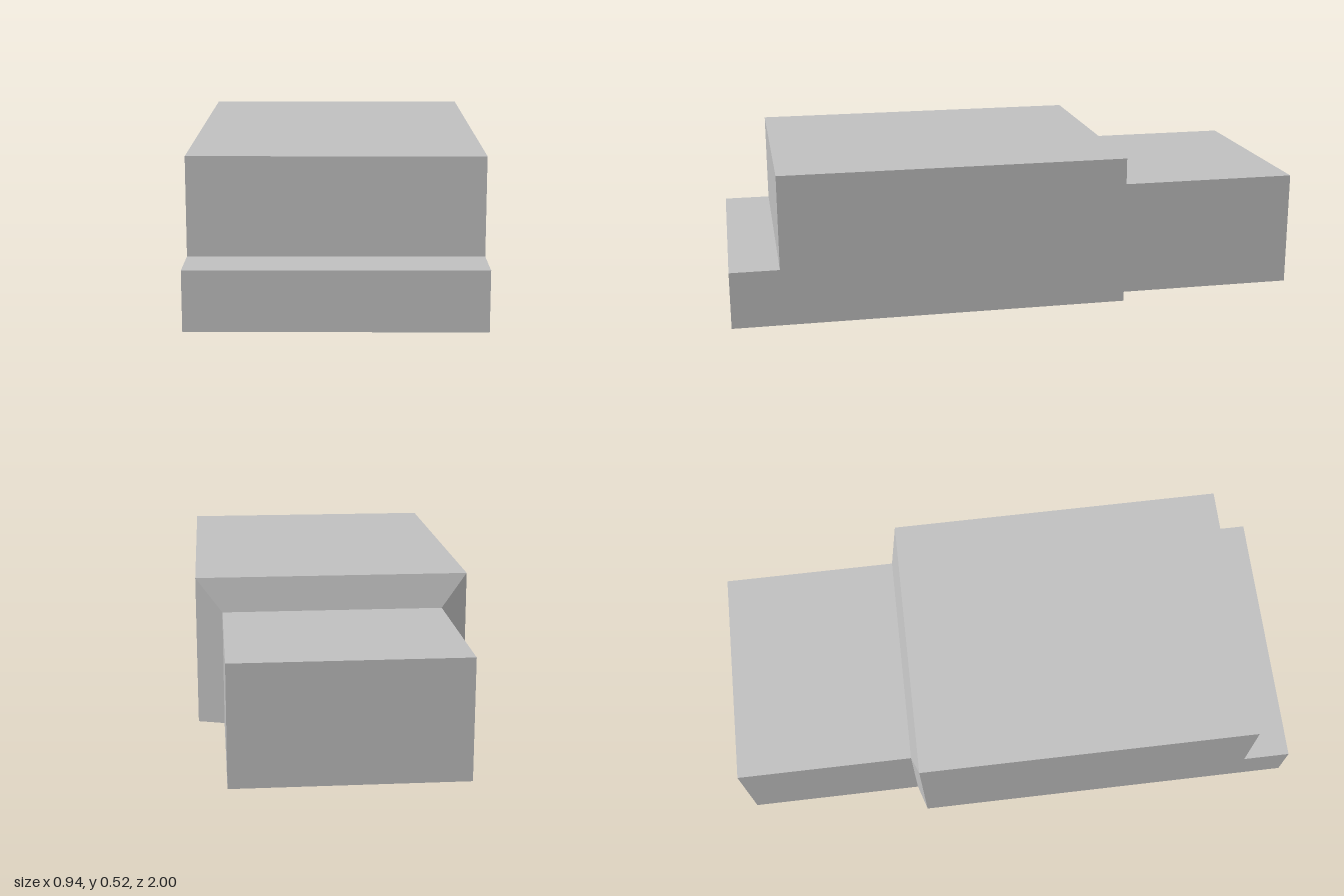
import * as THREE from 'three';

// Rectangular cross-section standing on the ground, counter-clockwise from the front
const section = (z, halfWidth, height) => [
  new THREE.Vector3(-halfWidth, 0, z),
  new THREE.Vector3(halfWidth, 0, z),
  new THREE.Vector3(halfWidth, height, z),
  new THREE.Vector3(-halfWidth, height, z),
];

// Skin consecutive sections from front to back, with optional end caps
function loft(sections, { frontCap = false, backCap = false } = {}) {
  const points = [];
  const triangle = (a, b, c) => {
    if (new THREE.Triangle(a, b, c).getArea() > 1e-6) points.push(a, b, c);
  };
  const quad = (a, b, c, d) => {
    triangle(a, b, c);
    triangle(a, c, d);
  };
  for (let s = 0; s + 1 < sections.length; s++) {
    const a = sections[s], b = sections[s + 1];
    for (let i = 0; i < 4; i++) {
      const j = (i + 1) % 4;
      quad(a[i], b[i], b[j], a[j]);
    }
  }
  if (frontCap) quad(...sections[0]);
  if (backCap) quad(...[...sections[sections.length - 1]].reverse());
  const geometry = new THREE.BufferGeometry().setFromPoints(points);
  geometry.computeVertexNormals();
  return geometry;
}

export function createModel() {
  const model = new THREE.Group();
  model.name = 'steppedBlock';

  const grey = new THREE.MeshStandardMaterial({ color: 0xc0c0c0 });
  grey.name = 'plain grey';

  const add = (name, geometry) => {
    const mesh = new THREE.Mesh(geometry, grey);
    mesh.name = name;
    model.add(mesh);
  };

  const stepFront = section(1, 0.47, 0.195);
  const stepBack = section(0.833, 0.47, 0.195);
  const bodyFront = section(0.833, 0.47, 0.516);
  const bodyBack = section(-0.357, 0.47, 0.516);
  const rearFront = section(-0.385, 0.38, 0.4);
  const rearBack = section(-1, 0.38, 0.4);

  // Low ledge at the front
  add('frontStep', loft([stepFront, stepBack], { frontCap: true }));

  // Tall main block, its front wall rising from the ledge
  add('mainBody', loft([stepBack, bodyFront, bodyBack]));

  // Sloped transition down to the rear block
  add('bevelledShoulder', loft([bodyBack, rearFront]));

  // Narrower, lower rear block
  add('rearBlock', loft([rearFront, rearBack], { backCap: true }));

  return model;
}
